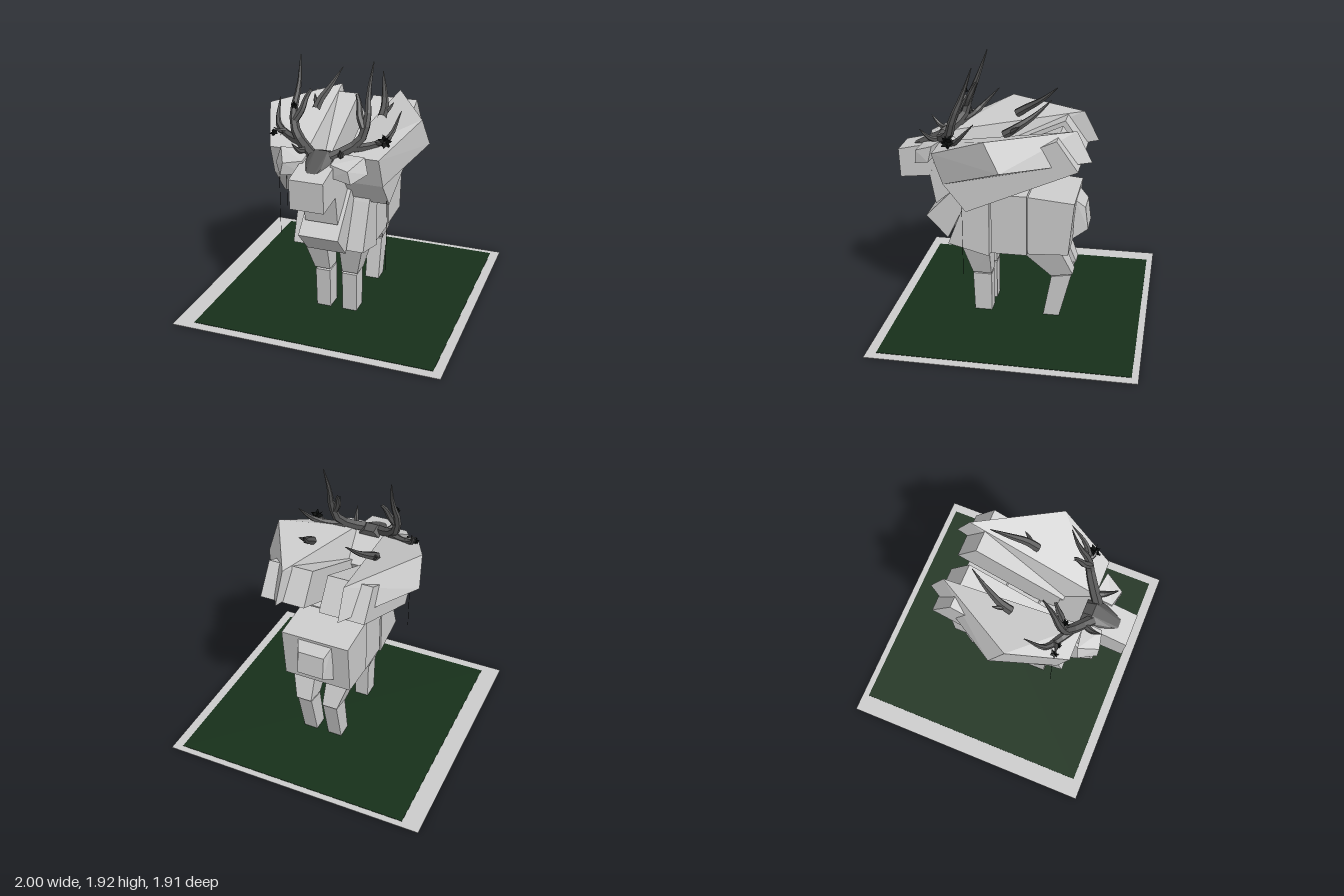
import * as THREE from 'three';
import { ConvexGeometry } from 'three/addons/geometries/ConvexGeometry.js';

const CX = 0.037; // symmetry plane of the animal

export function createModel() {
  const root = new THREE.Group();
  root.name = 'antleredBeast';
  const mat = (color, extra = {}) => new THREE.MeshStandardMaterial({ color, ...extra });
  const grey = mat(0xcccccc, { flatShading: true });
  const grass = mat(0x17301a);
  const horn = mat(0x555555, { flatShading: true });
  const dark = mat(0x0c0f0e, { side: THREE.DoubleSide });

  function add(name, geometry, material = grey, parent = root) {
    const mesh = new THREE.Mesh(geometry, material);
    mesh.name = name;
    parent.add(mesh);
    return mesh;
  }
  // Faceted block around [offset from symmetry plane, y, z] corners
  const block = (name, pts, side = 1, material = grey) =>
    add(name, new ConvexGeometry(pts.map(([d, y, z]) => new THREE.Vector3(CX + side * d, y, z))), material);
  // Side profile of [z, y] corners, spanning two offsets
  const slab = (name, profile, d0, d1, side = 1) =>
    block(name, profile.flatMap(([z, y]) => [[d0, y, z], [d1, y, z]]), side);

  // Tapered spike along a smooth path
  function spike(name, pts, r, side, tip = 0.08) {
    const path = new THREE.CatmullRomCurve3(pts.map(([d, y, z]) => new THREE.Vector3(CX + side * d, y, z)));
    const rings = 9, sides = 6;
    const geo = new THREE.TubeGeometry(path, rings, r, sides);
    const pos = geo.attributes.position, v = new THREE.Vector3();
    for (let i = 0; i <= rings; i++) {
      const c = path.getPointAt(i / rings);
      const k = 1 - (1 - tip) * Math.pow(i / rings, 1.5);
      for (let j = 0; j <= sides; j++) {
        const n = i * (sides + 1) + j;
        v.fromBufferAttribute(pos, n).sub(c).multiplyScalar(k).add(c);
        pos.setXYZ(n, v.x, v.y, v.z);
      }
    }
    geo.computeVertexNormals();
    return add(name, geo, horn);
  }

  // Ground plate and grass
  add('groundPlate', new THREE.BoxGeometry(2, 0.004, 1.91)).position.set(0, 0.002, -0.003);
  add('grass', new THREE.BoxGeometry(1.79, 0.004, 1.79), grass).position.set(0.035, 0.005, -0.015);

  // Body sections
  slab('shoulders', [[0.5, 0.59], [0.195, 0.51], [0.19, 0.98], [0.34, 0.98], [0.37, 0.92]], -0.262, 0.262);
  slab('belly', [[0.18, 0.535], [-0.08, 0.535], [-0.08, 0.995], [0.18, 0.995]], -0.255, 0.255);
  slab('rump', [[-0.09, 0.55], [-0.385, 0.565], [-0.425, 0.965], [-0.09, 0.995]], -0.26, 0.26);
  block('tail', [-1, 1].flatMap(s => [
    [s * 0.135, 0.95, -0.415], [s * 0.135, 0.64, -0.40],
    [s * 0.10, 0.88, -0.487], [s * 0.10, 0.71, -0.508]]));

  // Chest, neck and head
  slab('chest', [[0.69, 0.75], [0.53, 0.58], [0.36, 0.93], [0.42, 1.03]], -0.145, 0.145);
  slab('neck', [[0.66, 1.06], [0.62, 0.84], [0.40, 1.03], [0.33, 1.15], [0.58, 1.32]], -0.119, 0.119);
  slab('head', [[0.89, 1.25], [0.88, 1.035], [0.655, 1.06], [0.58, 1.32]], -0.12, 0.12);

  // Skull crown between the antlers
  block('skullCrown', [-1, 1].flatMap(s => [
    [s * 0.02, 1.25, 0.84], [s * 0.05, 1.29, 0.75], [s * 0.085, 1.27, 0.72],
    [s * 0.09, 1.33, 0.62], [s * 0.045, 1.365, 0.6], [s * 0.08, 1.30, 0.53], [s * 0.04, 1.34, 0.53]]), 1, horn);

  for (const s of [1, -1]) {
    // Legs
    block('frontThigh', [
      [0.047, 0.57, 0.41], [0.225, 0.57, 0.41], [0.047, 0.52, 0.2], [0.225, 0.52, 0.2],
      [0.047, 0.325, 0.34], [0.165, 0.325, 0.34], [0.047, 0.32, 0.2], [0.165, 0.32, 0.2]], s);
    block('frontShin', [
      [0.047, 0.31, 0.34], [0.158, 0.31, 0.34], [0.047, 0.31, 0.2], [0.158, 0.31, 0.2],
      [0.047, 0, 0.33], [0.155, 0, 0.33], [0.047, 0, 0.2], [0.155, 0, 0.2]], s);
    block('hindThigh', [
      [0.047, 0.55, -0.04], [0.225, 0.55, -0.04], [0.047, 0.56, -0.33], [0.225, 0.56, -0.33],
      [0.047, 0.34, -0.25], [0.165, 0.34, -0.25], [0.047, 0.365, -0.41], [0.165, 0.365, -0.41]], s);
    block('hindShin', [
      [0.047, 0.33, -0.25], [0.158, 0.33, -0.25], [0.047, 0.355, -0.40], [0.158, 0.355, -0.40],
      [0.047, 0, -0.19], [0.155, 0, -0.19], [0.047, 0, -0.31], [0.155, 0, -0.31]], s);

    // Sloping back beam and the faceted hump above it
    slab('backBeam', [[0.33, 0.91], [0.49, 1.11], [-0.31, 1.475], [-0.46, 1.26]], 0.057, 0.395, s);
    block('backHump', [
      [0.597, 1.29, 0.05], [0.397, 1.11, 0.49], [0.06, 1.11, 0.49], [0.235, 1.28, -0.54],
      [0.567, 1.5, 0.16], [0.39, 1.33, 0.57], [0.12, 1.33, 0.57], [0.23, 1.5, -0.43]], s);

    // Ear
    block('ear', [
      [0.09, 1.22, 0.70], [0.10, 1.31, 0.70], [0.09, 1.25, 0.58], [0.10, 1.34, 0.56],
      [0.25, 1.20, 0.73], [0.23, 1.29, 0.73], [0.33, 1.24, 0.61], [0.30, 1.35, 0.59]], s);

    // Antler with its tines
    spike('antlerBeam', [[0.06, 1.32, 0.61], [0.15, 1.36, 0.54], [0.23, 1.42, 0.48],
      [0.265, 1.55, 0.44], [0.25, 1.72, 0.37], [0.262, 1.92, 0.30]], 0.04, s);
    spike('outerTine', [[0.19, 1.37, 0.51], [0.30, 1.38, 0.45], [0.40, 1.43, 0.39], [0.445, 1.58, 0.25]], 0.033, s);
    spike('outerSpur', [[0.33, 1.40, 0.43], [0.37, 1.41, 0.46], [0.41, 1.43, 0.46]], 0.02, s);
    spike('innerTine', [[0.25, 1.50, 0.46], [0.21, 1.57, 0.43], [0.19, 1.65, 0.39], [0.165, 1.70, 0.36]], 0.028, s, 0.4);
    spike('browTine', [[0.12, 1.34, 0.57], [0.15, 1.36, 0.64], [0.17, 1.43, 0.71]], 0.025, s);

    // Curved spike on the hump
    spike('backSpike', [[0.25, 1.45, 0.08], [0.245, 1.50, 0.0], [0.205, 1.58, -0.12], [0.155, 1.69, -0.24]], 0.033, s);
    spike('backSpur', [[0.25, 1.47, 0.03], [0.28, 1.50, 0.0], [0.30, 1.53, -0.04]], 0.022, s);
  }

  // Ragged leaf tufts caught on the antlers: [x, y, z, size]
  const leaf = new THREE.Shape();
  for (let i = 0; i < 10; i++) {
    const a = i * Math.PI / 5 + 0.3, r = i % 2 ? 0.55 : 1;
    leaf[i ? 'lineTo' : 'moveTo'](Math.cos(a) * r, Math.sin(a) * r);
  }
  const leafGeo = new THREE.ShapeGeometry(leaf);
  [[0.43, 1.42, 0.45, 0.055], [-0.37, 1.39, 0.46, 0.035], [-0.31, 1.40, 0.46, 0.03],
    [-0.21, 1.61, 0.47, 0.03]].forEach(([x, y, z, size], k) => {
    const tuft = new THREE.Group();
    tuft.name = 'leafTuft';
    tuft.position.set(x, y, z);
    tuft.scale.setScalar(size);
    for (let i = 0; i < 3; i++) add('leaf', leafGeo, dark, tuft).rotation.set(i * 0.9 + 0.3, i * 1.1 + k, i * 0.7);
    root.add(tuft);
  });

  // Hanging threads: [x, z, bottom, top]
  for (const [x, z, y0, y1] of [[0.423, 0.36, 0.41, 1.15], [-0.343, 0.45, 0.62, 1.12], [-0.28, 0.47, 0.85, 1.12]])
    add('hangingThread', new THREE.CylinderGeometry(0.0015, 0.0015, y1 - y0, 4), dark).position.set(x, (y0 + y1) / 2, z);

  return root;
}
